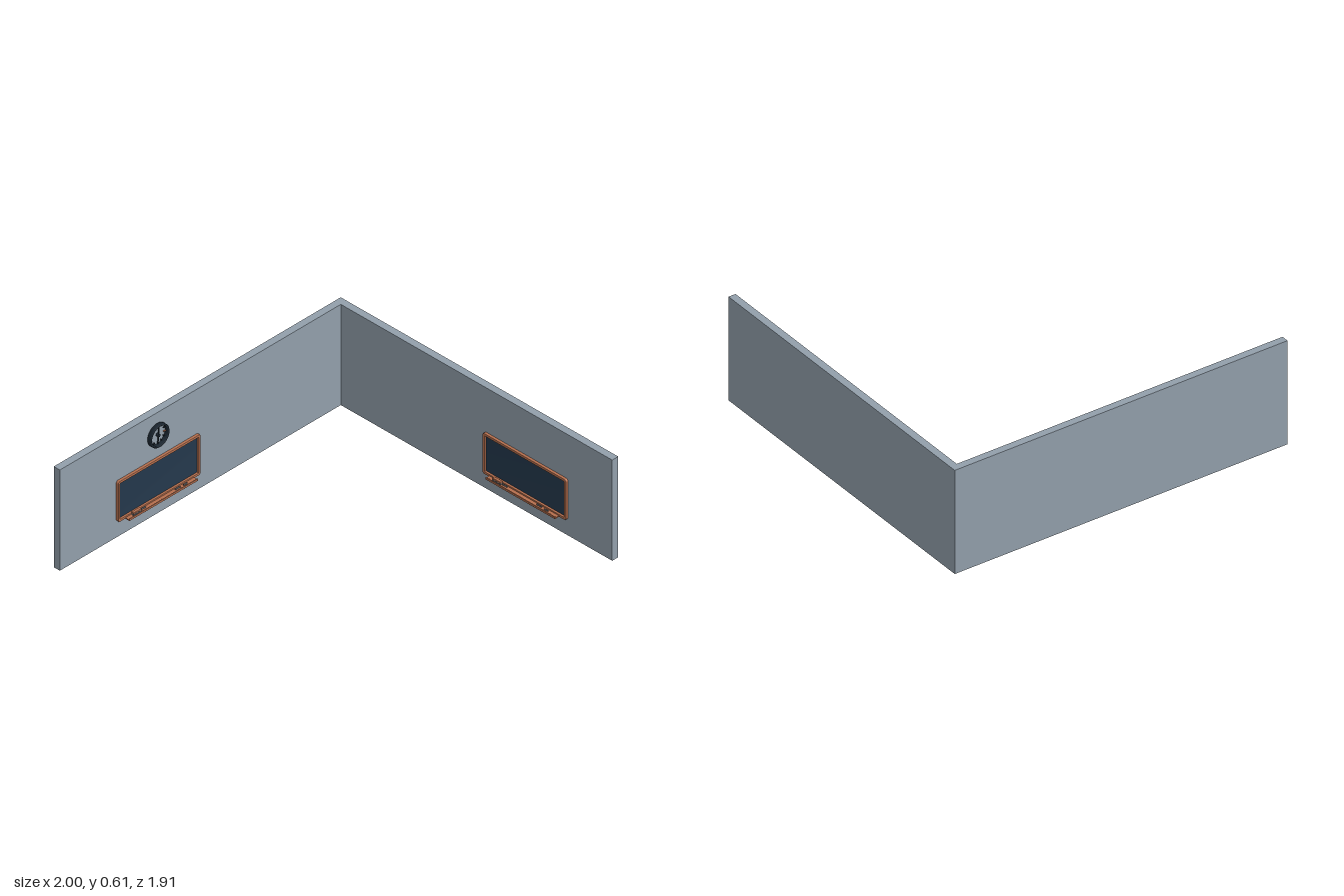
import * as THREE from 'three';
import { RoundedBoxGeometry } from 'three/addons/geometries/RoundedBoxGeometry.js';

function material(name, color, side = THREE.FrontSide) {
  const m = new THREE.MeshStandardMaterial({ color, side });
  m.name = name;
  return m;
}

const wallGrey = material('wall grey', 0x929fab);
const wood = material('orange wood', 0xb56f4e);
const slate = material('dark blue slate', 0x24384c, THREE.DoubleSide);
const dark = material('dark metal', 0x1b2630);
const felt = material('grey felt', 0x59636b);

function add(parent, name, geometry, mat, x = 0, y = 0, z = 0) {
  const mesh = new THREE.Mesh(geometry, mat);
  mesh.name = name;
  mesh.position.set(x, y, z);
  parent.add(mesh);
  return mesh;
}

const box = (w, h, d) => new THREE.BoxGeometry(w, h, d);

function roundedRect(target, w, h, r) {
  const x = w / 2, y = h / 2;
  target.moveTo(-x + r, -y);
  target.lineTo(x - r, -y);
  target.absarc(x - r, -y + r, r, -Math.PI / 2, 0);
  target.lineTo(x, y - r);
  target.absarc(x - r, y - r, r, 0, Math.PI / 2);
  target.lineTo(-x + r, y);
  target.absarc(-x + r, y - r, r, Math.PI / 2, Math.PI);
  target.lineTo(-x, -y + r);
  target.absarc(-x + r, -y + r, r, Math.PI, Math.PI * 1.5);
  return target;
}

// Shallow dish with shared corners, so its shading blends like a soft recess
function recessedPanel(w, h, front, back) {
  const x = w / 2, y = h / 2, points = [];
  for (const z of [front, back]) points.push(-x, -y, z, x, -y, z, x, y, z, -x, y, z);
  const index = [4, 5, 6, 4, 6, 7];
  for (let i = 0; i < 4; i++) {
    const j = (i + 1) % 4;
    index.push(i, j, j + 4, i, j + 4, i + 4);
  }
  const g = new THREE.BufferGeometry();
  g.setAttribute('position', new THREE.Float32BufferAttribute(points, 3));
  g.setIndex(index);
  g.computeVertexNormals();
  return g;
}

// Board facing +z, with its back on z = 0
function makeBoard(name) {
  const board = new THREE.Group();
  board.name = name;

  const w = 0.576, h = 0.244, bar = 0.015, bevel = 0.003;
  const outline = roundedRect(new THREE.Shape(), w - 2 * bevel, h - 2 * bevel, 0.012);
  outline.holes.push(roundedRect(new THREE.Path(), w - 2 * bar + 2 * bevel, h - 2 * bar + 2 * bevel, 0.006));
  const frame = new THREE.ExtrudeGeometry(outline, {
    depth: 0.011, bevelSize: bevel, bevelThickness: bevel, bevelSegments: 2, curveSegments: 5,
  });
  add(board, 'boardFrame', frame, wood, 0, 0, 0.003);
  add(board, 'boardSurface', recessedPanel(w - 2 * bar + 0.002, h - 2 * bar + 0.002, 0.01, 0.005), slate);

  // Ledge with a raised lip
  const floorY = -h / 2 + 0.007;
  add(board, 'tray', box(0.478, 0.006, 0.03), wood, 0, floorY - 0.003, 0.029);
  add(board, 'trayLip', new RoundedBoxGeometry(0.478, 0.013, 0.006, 2, 0.002), wood, 0, floorY, 0.043);

  // Eraser and sticks resting on the ledge
  add(board, 'eraserFelt', box(0.054, 0.008, 0.015), felt, -0.172, floorY + 0.004, 0.028);
  add(board, 'eraserGrip', new RoundedBoxGeometry(0.056, 0.01, 0.017, 2, 0.003), wood, -0.172, floorY + 0.013, 0.028);
  for (const [x, length, z] of [[-0.123, 0.03, 0.026], [0.115, 0.034, 0.027], [0.165, 0.024, 0.03]]) {
    const stick = add(board, 'chalk', new THREE.CylinderGeometry(0.004, 0.004, length, 10), felt, x, floorY + 0.004, z);
    stick.rotation.z = Math.PI / 2;
  }
  return board;
}

// Open-faced clock facing +z, with its back on z = 0
function makeClock() {
  const clock = new THREE.Group();
  clock.name = 'clock';

  const profile = [[0.055, 0], [0.067, 0], [0.067, 0.019], [0.064, 0.023], [0.058, 0.023], [0.055, 0.019], [0.055, 0]]
    .map(([r, y]) => new THREE.Vector2(r, y));
  add(clock, 'clockRim', new THREE.LatheGeometry(profile, 40), dark).rotation.x = Math.PI / 2;

  // Hour marks, the quarter ones in wood at the sides
  for (let i = 0; i < 12; i++) {
    const a = i * Math.PI / 6, quarter = i % 3 === 0;
    const length = quarter ? 0.014 : 0.01, r = 0.054 - length / 2;
    const mark = add(clock, 'hourMark', box(length, 0.005, 0.006), i % 6 === 0 ? wood : dark,
      Math.cos(a) * r, Math.sin(a) * r, 0.004);
    mark.rotation.z = a;
  }

  add(clock, 'minuteHand', box(0.006, 0.046, 0.004), dark, 0, 0.023, 0.012);
  add(clock, 'hourHand', box(0.008, 0.036, 0.004), dark, 0, -0.018, 0.008);
  add(clock, 'clockHub', new THREE.CylinderGeometry(0.009, 0.009, 0.016, 20), dark, 0, 0, 0.008).rotation.x = Math.PI / 2;
  return clock;
}

export function createModel() {
  const model = new THREE.Group();
  model.name = 'classroomCorner';

  // Two walls meeting at the back left corner
  const height = 0.606, thick = 0.042, depth = 1.908, half = depth / 2;
  add(model, 'backWall', box(2 - thick, height, thick), wallGrey, -thick / 2, height / 2, -half + thick / 2);
  add(model, 'sideWall', box(thick, height, depth), wallGrey, 1 - thick / 2, height / 2, 0);

  const backBoard = makeBoard('backBoard');
  backBoard.position.set(-0.322, 0.219, -half + thick);
  const sideBoard = makeBoard('sideBoard');
  sideBoard.position.set(1 - thick, 0.219, 0.365);
  sideBoard.rotation.y = -Math.PI / 2;

  const clock = makeClock();
  clock.position.set(-0.323, 0.476, -half + thick);
  model.add(backBoard, sideBoard, clock);
  return model;
}
